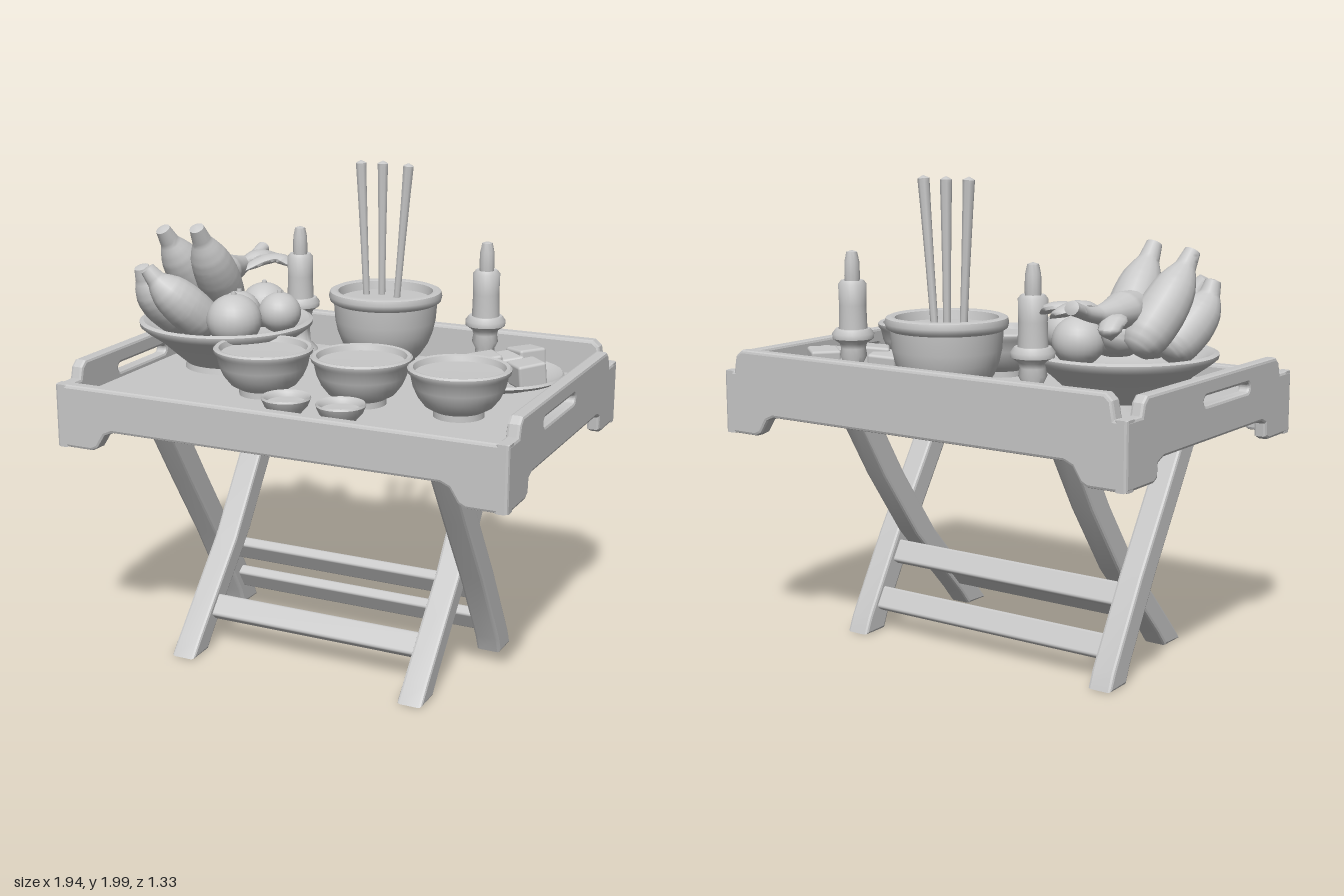
import * as THREE from 'three';
import { toCreasedNormals } from 'three/addons/utils/BufferGeometryUtils.js';
import { RoundedBoxGeometry } from 'three/addons/geometries/RoundedBoxGeometry.js';

const grey = new THREE.MeshStandardMaterial({ color: 0xc8c8c8 });
grey.name = 'plain grey';

const FLOOR = 1.13; // top of the tray board

function add(parent, name, geometry, x = 0, y = 0, z = 0) {
  const mesh = new THREE.Mesh(geometry, grey);
  mesh.name = name;
  mesh.position.set(x, y, z);
  parent.add(mesh);
  return mesh;
}

// Slab with soft edges, from an outline in x, y, centred on z
function slab(points, thickness, hole) {
  const b = 0.012;
  const shape = new THREE.Shape(points.map(([x, y]) => new THREE.Vector2(x, y)));
  if (hole) shape.holes.push(hole);
  const g = new THREE.ExtrudeGeometry(shape, {
    depth: thickness - 2 * b, bevelThickness: b, bevelSize: b, bevelOffset: -b, bevelSegments: 2, curveSegments: 8,
  });
  g.translate(0, 0, b - thickness / 2);
  return toCreasedNormals(g, 0.3);
}

// Turned part from [radius, height] pairs
function turned(profile, segments = 40) {
  const g = new THREE.LatheGeometry(profile.map(([r, y]) => new THREE.Vector2(r, y)), segments);
  return toCreasedNormals(g, 0.8);
}

// Tube along a curve whose thickness follows a list of radii, closed at both ends
function tapered(points, radii, flat = 1, sides = 16) {
  const curve = new THREE.CatmullRomCurve3(points.map((p) => new THREE.Vector3(...p)));
  const steps = 48;
  const g = new THREE.TubeGeometry(curve, steps, 1, sides);
  const pos = g.attributes.position, v = new THREE.Vector3();
  for (let i = 0; i <= steps; i++) {
    const c = curve.getPointAt(i / steps);
    const k = (i / steps) * (radii.length - 1), j = Math.min(Math.floor(k), radii.length - 2);
    const r = i % steps === 0 ? 0 : THREE.MathUtils.lerp(radii[j], radii[j + 1], k - j);
    for (let s = 0; s <= sides; s++) {
      const n = i * (sides + 1) + s;
      v.fromBufferAttribute(pos, n).sub(c).multiplyScalar(r);
      pos.setXYZ(n, c.x + v.x, c.y + v.y * flat, c.z + v.z);
    }
  }
  return toCreasedNormals(g, 0.9);
}

// Panel outline: feet at both ends, arched underside, optional raised middle
function panelOutline(half, footIn, archIn, top, raised, raisedHalf) {
  const right = [
    [archIn, 1.015], [archIn + 0.035, 1.0], [footIn - 0.03, 0.945], [footIn, 0.93],
    [half, 0.93], [half, top],
  ];
  if (raised) right.push([raisedHalf, top], [raisedHalf - 0.012, raised - 0.025], [raisedHalf - 0.04, raised]);
  return [...right, ...right.slice().reverse().map(([x, y]) => [-x, y])];
}

function buildTray(root) {
  const tray = new THREE.Group();
  tray.name = 'tray';
  add(tray, 'trayFloor', new THREE.BoxGeometry(1.86, FLOOR - 1.04, 1.28), 0, (FLOOR + 1.04) / 2, 0);
  add(tray, 'frontPanel', slab(panelOutline(0.962, 0.8, 0.7, 1.19), 0.06), 0, 0, 0.635);
  add(tray, 'backPanel', slab(panelOutline(0.962, 0.8, 0.7, 1.19, 1.28, 0.91), 0.06), 0, 0, -0.635);

  // Side panels with a slot for the hand
  const slot = new THREE.Path();
  slot.absarc(0.075, 1.172, 0.018, -Math.PI / 2, Math.PI / 2);
  slot.absarc(-0.265, 1.172, 0.018, Math.PI / 2, Math.PI * 1.5);
  slot.closePath();
  const side = slab(panelOutline(0.665, 0.47, 0.4, 1.19, 1.26, 0.56), 0.055, slot);
  for (const s of [-1, 1]) add(tray, 'sidePanel', side, s * 0.935).rotation.y = Math.PI / 2;
  tray.position.x = 0.005;
  root.add(tray);
}

function buildStand(root) {
  const stand = new THREE.Group();
  stand.name = 'foldingStand';
  // Leg outline from centre points [z, y]; the slab is turned so x becomes -z
  const leg = (pts, w) => slab(
    [...pts.map(([z, y]) => [-z - w, y]), ...pts.slice().reverse().map(([z, y]) => [-z + w, y])], 0.105);
  const outer = [[0.44, 1.06], [0.225, 0.72], [0.03, 0.42], [-0.17, 0.08], [-0.2, 0.008]];
  const inner = [[-0.385, 1.06], [-0.175, 0.72], [0.04, 0.42], [0.36, 0.08], [0.42, 0.008]];
  for (const s of [-1, 1]) {
    add(stand, 'outerLeg', leg(outer, 0.063), s * 0.615).rotation.y = Math.PI / 2;
    add(stand, 'innerLeg', leg(inner, 0.063), s * 0.515).rotation.y = Math.PI / 2;
  }
  const rail = (name, length, y, z, tilt) => {
    add(stand, name, new RoundedBoxGeometry(length, 0.1, 0.05, 2, 0.012), 0, y, z).rotation.x = tilt;
  };
  rail('outerUpperRail', 1.16, 0.33, -0.025, 0.55);
  rail('outerLowerRail', 1.16, 0.145, -0.14, 0.55);
  rail('innerRail', 0.98, 0.17, 0.27, -0.75);
  stand.position.x = 0.005;
  root.add(stand);
}

function buildVessels(root) {
  // Filled bowls and small cups
  const bowl = [
    [0, 0], [0.1, 0], [0.1, 0.025], [0.135, 0.045], [0.162, 0.08], [0.18, 0.12], [0.19, 0.165], [0.2, 0.175],
    [0.202, 0.19], [0.194, 0.197], [0.18, 0.194], [0.172, 0.172], [0, 0.17],
  ];
  for (const [x, z] of [[-0.24, 0.235], [0.178, 0.195], [0.592, 0.195]])
    add(root, 'bowl', turned(bowl), x, FLOOR, z);
  const cup = [[0, 0], [0.055, 0], [0.062, 0.015], [0.085, 0.04], [0.098, 0.07], [0.094, 0.078], [0.082, 0.07], [0.076, 0.054], [0, 0.05]];
  for (const x of [-0.012, 0.222]) add(root, 'smallCup', turned(cup, 28), x, FLOOR, 0.478);

  // Incense pot and sticks
  const pot = [
    [0, 0], [0.13, 0], [0.13, 0.03], [0.155, 0.055], [0.185, 0.1], [0.205, 0.15], [0.216, 0.2], [0.222, 0.275], [0.238, 0.285],
    [0.243, 0.305], [0.238, 0.325], [0.222, 0.332], [0.203, 0.325], [0.196, 0.29], [0, 0.295],
  ];
  add(root, 'incensePot', turned(pot, 48), 0.01, FLOOR, -0.41);
  for (const [x0, x1, z] of [[-0.095, -0.125, -0.445], [-0.032, -0.032, -0.465], [0.05, 0.1, -0.435]]) {
    add(root, 'incenseStick', tapered(
      [[x0, 1.4, z], [(x0 + x1) / 2, 1.7, z], [x1, 2, z]], [0.015, 0.016, 0.017, 0.019, 0.021, 0.024], 1, 8));
  }
}

function buildCandles(root) {
  const holder = [
    [0, 0], [0.08, 0], [0.075, 0.02], [0.045, 0.05], [0.04, 0.11], [0.055, 0.14], [0.05, 0.17], [0.055, 0.19],
    [0.083, 0.21], [0.085, 0.23], [0.07, 0.25], [0, 0.25],
  ];
  const wax = [[0, 0], [0.058, 0], [0.055, 0.1], [0.057, 0.185], [0.045, 0.2], [0, 0.19]];
  const flame = [[0, 0], [0.028, 0], [0.032, 0.04], [0.03, 0.1], [0.022, 0.138], [0, 0.145]];
  for (const x of [-0.42, 0.453]) {
    const candle = new THREE.Group();
    candle.name = 'candle';
    add(candle, 'candleHolder', turned(holder, 28));
    add(candle, 'wax', turned(wax, 24), 0, 0.245);
    add(candle, 'flame', turned(flame, 12), 0, 0.42);
    candle.position.set(x, FLOOR, -0.45);
    root.add(candle);
  }
}

function buildPlates(root) {
  // Plate of cubes
  const dish = [[0, 0], [0.16, 0], [0.18, 0.01], [0.25, 0.03], [0.272, 0.045], [0.265, 0.055], [0.235, 0.042], [0.17, 0.024], [0, 0.02]];
  add(root, 'cubePlate', turned(dish, 48), 0.565, FLOOR, -0.315);
  const cubes = [[0.46, -0.235, 0.3], [0.54, -0.215, 0.7], [0.6, -0.34, 0.5], [0.655, -0.4, 0.9], [0.71, -0.255, 0.8]];
  cubes.forEach(([x, z, turn], i) => {
    const cube = add(root, 'cube', new RoundedBoxGeometry(0.125, 0.1, 0.12, 2, 0.012), x, 1.205 + (i % 2) * 0.02, z);
    cube.rotation.set(0.12 * (i % 3 - 1), turn, 0.1);
  });

  // Flared fruit dish
  const fruitDish = [
    [0, 0], [0.18, 0], [0.175, 0.025], [0.215, 0.06], [0.28, 0.12], [0.35, 0.17], [0.37, 0.187],
    [0.372, 0.203], [0.355, 0.211], [0.33, 0.2], [0.27, 0.16], [0, 0.135],
  ];
  const fruit = new THREE.Group();
  fruit.name = 'fruitDish';
  add(fruit, 'dish', turned(fruitDish, 56), -0.602, FLOOR, -0.105);

  // Round fruit with a small stalk
  for (const [x, y, z, r] of [[-0.485, 1.38, -0.235, 0.103], [-0.335, 1.39, -0.09, 0.09],
    [-0.46, 1.38, 0.08, 0.115], [-0.5, 1.39, -0.04, 0.09]]) {
    const ball = add(fruit, 'roundFruit', new THREE.SphereGeometry(r, 24, 16), x, y, z);
    ball.scale.y = 0.95;
    add(fruit, 'stalk', new THREE.CylinderGeometry(0.01, 0.014, 0.02, 8), x, y + r * 0.95, z);
  }

  // Bananas, from blunt tip to rounded base
  const thickness = [0.03, 0.036, 0.042, 0.062, 0.078, 0.087, 0.092, 0.095, 0.095, 0.094, 0.09, 0.078, 0.05];
  const bananas = [
    [[-0.66, 1.75, 0.035], [-0.655, 1.63, -0.04], [-0.655, 1.52, -0.12], [-0.67, 1.36, -0.25]],
    [[-0.835, 1.73, 0.02], [-0.815, 1.62, -0.05], [-0.79, 1.51, -0.13], [-0.74, 1.36, -0.25]],
    [[-0.83, 1.6, 0.2], [-0.82, 1.52, 0.17], [-0.79, 1.43, 0.1], [-0.74, 1.32, -0.02]],
    [[-0.79, 1.6, 0.225], [-0.74, 1.53, 0.2], [-0.67, 1.44, 0.14], [-0.6, 1.32, 0.03]],
  ];
  for (const path of bananas) add(fruit, 'banana', tapered(path, thickness));

  // Stem of the bunch and dry curled leaves
  add(fruit, 'bunchStem', tapered([[-0.68, 1.52, -0.16], [-0.69, 1.51, -0.32], [-0.68, 1.52, -0.46], [-0.68, 1.56, -0.6]],
    [0.07, 0.08, 0.06, 0.035, 0.028, 0.03], 0.9));
  const leaves = [
    [[-0.68, 1.5, -0.36], [-0.64, 1.55, -0.45], [-0.6, 1.53, -0.53], [-0.54, 1.5, -0.52]],
    [[-0.65, 1.49, -0.32], [-0.6, 1.53, -0.42], [-0.54, 1.54, -0.47], [-0.45, 1.5, -0.46]],
    [[-0.7, 1.46, -0.3], [-0.73, 1.5, -0.37], [-0.74, 1.46, -0.43], [-0.73, 1.42, -0.4]],
  ];
  for (const path of leaves) add(fruit, 'curledLeaf', tapered(path, [0, 0.035, 0.05, 0.045, 0], 0.4, 10));
  root.add(fruit);
}

export function createModel() {
  const root = new THREE.Group();
  root.name = 'offeringTable';
  buildTray(root);
  buildStand(root);
  buildVessels(root);
  buildCandles(root);
  buildPlates(root);
  return root;
}
